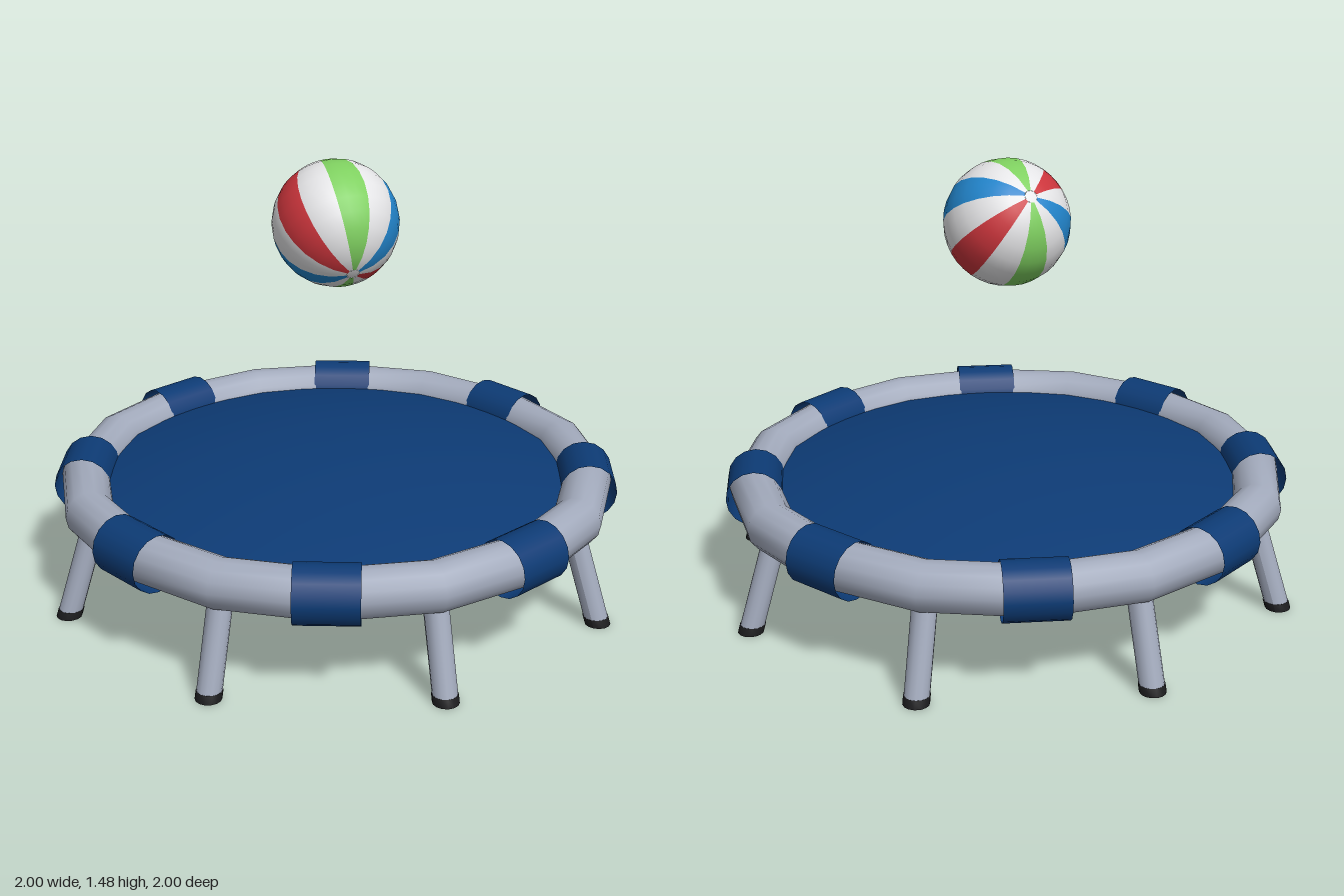
import * as THREE from 'three';

const mat = (name, color, side = THREE.FrontSide) => {
  const m = new THREE.MeshStandardMaterial({ color, side });
  m.name = name;
  return m;
};

const add = (parent, name, geometry, material) => {
  const mesh = new THREE.Mesh(geometry, material);
  mesh.name = name;
  parent.add(mesh);
  return mesh;
};

export function createModel() {
  const model = new THREE.Group();
  model.name = 'trampolineWithBall';

  const frameGrey = mat('frame grey', 0xa3abbd);
  const navy = mat('navy fabric', 0x0d3b75, THREE.DoubleSide);
  const rubber = mat('black rubber', 0x1c1c1e, THREE.DoubleSide);
  const white = mat('ball white', 0xe6e6e8);
  const red = mat('ball red', 0xcc353c);
  const green = mat('ball green', 0x7fd060);
  const blue = mat('ball blue', 0x2285cc);

  const RING_R = 0.868, RING_Y = 0.357, TUBE = 0.083;

  // Frame ring: a sixteen-sided tube
  const ring = add(model, 'frameRing', new THREE.TorusGeometry(RING_R, TUBE, 14, 16), frameGrey);
  ring.rotation.x = Math.PI / 2;
  ring.position.y = RING_Y;

  // Jumping mat: a shallow dome reaching the middle of the ring
  const profile = [];
  for (let i = 0; i <= 10; i++) {
    const r = 0.86 * (1 - i / 10);
    profile.push(new THREE.Vector2(r, 0.48 - 0.166 * r * r));
  }
  add(model, 'jumpingMat', new THREE.LatheGeometry(profile, 32), navy);

  // Straight fabric sleeves around the ring
  const sleeveGeo = new THREE.CylinderGeometry(0.097, 0.097, 0.21, 16, 1, true);
  sleeveGeo.rotateX(Math.PI / 2);
  sleeveGeo.translate(RING_R - 0.005, RING_Y, 0);
  for (let i = 0; i < 8; i++) {
    add(model, 'sleeve', sleeveGeo, navy).rotation.y = Math.PI / 8 + (i * Math.PI) / 4;
  }

  // Splayed legs, sheared so that their feet lie flat
  const splay = (geometry) => {
    const p = geometry.attributes.position;
    for (let i = 0; i < p.count; i++) p.setX(i, p.getX(i) + 0.957 - 0.31 * p.getY(i));
    geometry.computeVertexNormals();
    return geometry;
  };
  const legGeo = splay(new THREE.CylinderGeometry(0.041, 0.041, 0.3, 14).translate(0, 0.168, 0));
  const footGeo = splay(new THREE.LatheGeometry(
    [[0.022, 0.02], [0.022, 0], [0.043, 0], [0.043, 0], [0.043, 0.027], [0.04, 0.027]]
      .map(([x, y]) => new THREE.Vector2(x, y)), 14));
  for (let i = 0; i < 8; i++) {
    const leg = new THREE.Group();
    leg.name = 'leg';
    add(leg, 'legTube', legGeo, frameGrey);
    add(leg, 'rubberFoot', footGeo, rubber);
    leg.rotation.y = (i * Math.PI) / 4;
    model.add(leg);
  }

  // Beach ball: twelve gores, coloured ones between white ones, and white end caps
  const ball = new THREE.Group();
  ball.name = 'beachBall';
  const R = 0.211, CAP = 0.1, step = Math.PI / 6;
  const colours = [green, red, blue];
  for (let i = 0; i < 12; i++) {
    const middle = Math.PI / 2 - i * step;
    const gore = new THREE.SphereGeometry(R, 1, 12, middle - step / 2, step, CAP, Math.PI - 2 * CAP);
    add(ball, 'ballGore', gore, i % 2 ? white : colours[(i / 2) % 3]);
  }
  for (const start of [0, Math.PI - CAP]) {
    add(ball, 'ballCap', new THREE.SphereGeometry(R, 12, 1, step / 2, Math.PI * 2, start, CAP), white);
  }

  // Tilt the ball's axis, keeping a green gore uppermost
  const axis = new THREE.Vector3(-0.12, 0.128, -0.125).normalize();
  const up = new THREE.Vector3(0, 1, 0).addScaledVector(axis, -axis.y).normalize();
  const side = new THREE.Vector3().crossVectors(axis, up);
  ball.quaternion.setFromRotationMatrix(new THREE.Matrix4().makeBasis(side, axis, up));
  ball.position.y = 1.27;
  model.add(ball);

  return model;
}
